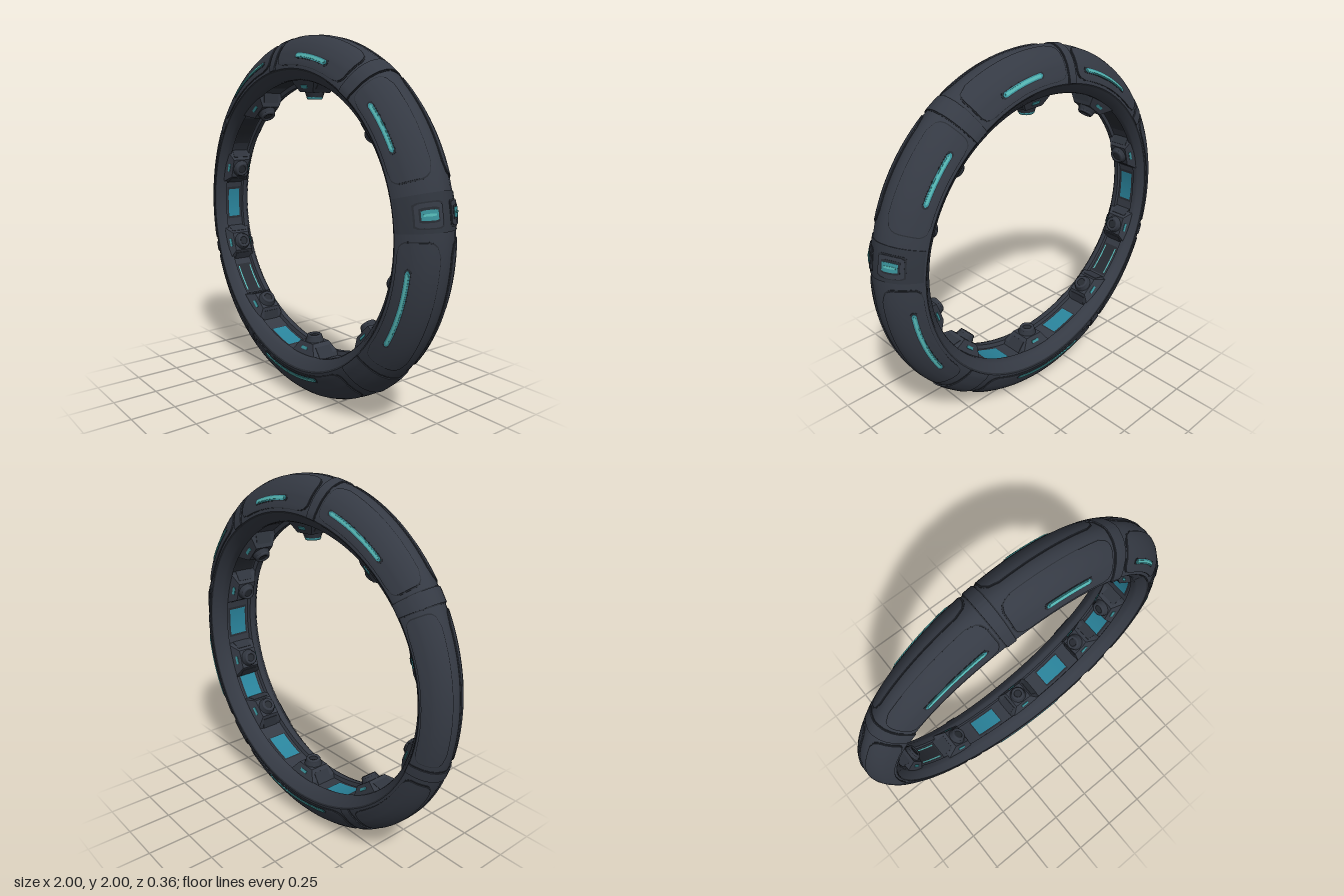
import * as THREE from 'three';
import { toCreasedNormals } from 'three/addons/utils/BufferGeometryUtils.js';

const DEG = Math.PI / 180;

const mat = (name, color) => {
  const m = new THREE.MeshStandardMaterial({ color });
  m.name = name;
  return m;
};

// Half of the tube section: [share of radial thickness, share of half depth]
const SECTION = [
  [0, 0], [0.02, 0.15], [0.08, 0.38], [0.2, 0.6], [0.36, 0.78], [0.5, 0.88], [0.64, 0.97],
  [0.75, 1], [0.97, 0.76], [1, 0.66], [1, 0.5], [0.9, 0.46], [0.9, 0],
];
const LAST = SECTION.length - 1;

// The ring is thinner and shallower on its -x side
function thickness(t) {
  const c = Math.cos(t), s = Math.sin(t);
  return 0.215 + 0.022 * s * s - (c < 0 ? 0.055 * c * c : 0);
}
function halfDepth(t) {
  const c = Math.cos(t);
  return 0.161 + 0.025 * c - 0.014 * c * c;
}

// Radius and z on the section; s runs -LAST..LAST, negative towards the back
function sectionAt(t, s) {
  const a = Math.min(Math.abs(s), LAST), i = Math.min(Math.floor(a), LAST - 1), f = a - i;
  const [u0, v0] = SECTION[i], [u1, v1] = SECTION[i + 1];
  const u = u0 + (u1 - u0) * f, v = v0 + (v1 - v0) * f;
  return [1 - u * thickness(t), Math.sign(s) * v * halfDepth(t)];
}

function surface(t, s, lift = 0) {
  let [r, z] = sectionAt(t, s);
  if (lift) {
    const [r0, z0] = sectionAt(t, s - 0.3), [r1, z1] = sectionAt(t, s + 0.3);
    const l = Math.hypot(r1 - r0, z1 - z0) || 1;
    r += (lift * (z1 - z0)) / l;
    z -= (lift * (r1 - r0)) / l;
  }
  return [r * Math.cos(t), 1 + r * Math.sin(t), z];
}

// Surface from a grid of points
function gridGeometry(nu, nv, point, crease) {
  const pos = [], idx = [];
  for (let i = 0; i <= nu; i++) for (let j = 0; j <= nv; j++) pos.push(...point(i, j));
  for (let i = 0; i < nu; i++) {
    for (let j = 0; j < nv; j++) {
      const a = i * (nv + 1) + j, b = a + nv + 1;
      idx.push(a, b, b + 1, a, b + 1, a + 1);
    }
  }
  const g = new THREE.BufferGeometry();
  g.setAttribute('position', new THREE.Float32BufferAttribute(pos, 3));
  g.setIndex(idx);
  return toCreasedNormals(g, crease);
}

// Raised plate following the ring, with rounded corners and a skirt; angles in degrees
function plateGeometry(d0, d1, s0, s1, lift, round = 0) {
  const nu = Math.max(4, Math.ceil((d1 - d0) / 2.5)) + 2;
  const nv = Math.max(3, Math.ceil((s1 - s0) / 0.4)) + 2;
  const clamp = (i, n) => Math.min(Math.max((i - 1) / (n - 2), 0), 1);
  return gridGeometry(nu, nv, (i, j) => {
    const a = clamp(i, nu), b = clamp(j, nv);
    const k = Math.max(0, (Math.abs(2 * b - 1) - 0.4) / 0.6);
    const inset = round * (1 - Math.sqrt(Math.max(0, 1 - k * k)));
    const t = d0 + inset + (d1 - d0 - 2 * inset) * a;
    const edge = i === 0 || j === 0 || i === nu || j === nv;
    return surface(t * DEG, s0 + (s1 - s0) * b, edge ? -0.004 : lift);
  }, 0.7);
}

export function createModel() {
  const group = new THREE.Group();
  group.name = 'segmentedRing';
  const shell = mat('dark slate', 0x353a44);
  const seam = mat('seam charcoal', 0x282c33);
  const frame = mat('frame slate', 0x30353e);
  const glow = mat('light teal', 0x56b9b6);
  const dim = mat('mid teal', 0x3a929a);
  const glass = mat('deep teal', 0x2a849c);

  const add = (parent, name, geo, material) => {
    const m = new THREE.Mesh(geo, material);
    m.name = name;
    parent.add(m);
    return m;
  };
  const plate = (name, d0, d1, s0, s1, lift, material, round) =>
    add(group, name, plateGeometry(d0, d1, s0, s1, lift, round), material);
  // The same plate on the front and back shoulders
  const pair = (name, d0, d1, s0, s1, lift, material, round) => {
    plate(name + 'Front', d0, d1, s0, s1, lift, material, round);
    plate(name + 'Back', d0, d1, -s1, -s0, lift, material, round);
  };

  // Main ring body
  add(group, 'ringBody', gridGeometry(120, 2 * LAST,
    (i, j) => surface((i % 120) * 3 * DEG, j - LAST), 0.6), shell);

  // Shoulder panels with dark outlines: [start, end]
  const panels = [[19, 51], [59, 97], [103, 142], [150, 194], [202, 236], [244, 302], [320, 362]];
  for (const [a, b] of panels) {
    pair('panelSeam', a - 0.4, b + 0.4, 1.2, 6.4, 0.002, seam, 4.3);
    pair('shoulderPanel', a, b, 1.3, 6.3, 0.006, shell, 4);
  }

  // Collars between the panels: [middle, half width]
  for (const [a, w] of [[55, 2.5], [100, 1.7], [146, 2.2], [198, 1.7], [240, 2.2], [311, 5]]) {
    plate('collarSeam', a - w - 0.3, a + w + 0.3, -7, 7, 0.002, seam);
    plate('collar', a - w, a + w, -6.9, 6.9, 0.007, shell);
  }

  // Rim seams beside the inner lip
  for (const s of [7.1, -7.1]) {
    add(group, 'rimSeam', gridGeometry(120, 1,
      (i, j) => surface((i % 120) * 3 * DEG, s + (j - 0.5) * 0.1, 0.002), 0.6), seam);
  }

  // Light strips on the panels, bright along the middle: [start, end, section start, section end]
  const strips = [
    [28, 45, 4.35, 5], [69, 86, 4.5, 5.2], [107, 131, 4.4, 5.05],
    [328, 354, 4.2, 4.85], [253, 287, 5.3, 5.95],
  ];
  for (const [a, b, s0, s1] of strips) {
    pair('stripFrame', a - 0.6, b + 0.6, s0 - 0.12, s1 + 0.12, 0.0075, seam, 0.5);
    pair('stripEdge', a, b, s0, s1, 0.01, dim, 0.8);
    pair('lightStrip', a + 0.8, b - 0.8, s0 + 0.16, s1 - 0.16, 0.0125, glow, 0.5);
  }

  // Clasp with two windows wrapping towards the shoulders
  plate('claspCollar', 4.5, 15, -6.5, 6.5, 0.004, frame);
  pair('claspSeam', 5.6, 12.9, 0.8, 4, 0.006, seam, 0.6);
  pair('claspFrame', 6, 12.5, 1, 3.8, 0.01, shell, 0.6);
  pair('claspRecess', 7.3, 11.4, 1.4, 3.4, 0.0115, seam, 0.3);
  pair('claspWindow', 7.9, 10.7, 1.55, 3.2, 0.0135, dim, 0.2);
  pair('claspLight', 9, 9.7, 1.8, 3, 0.0155, glow, 0.1);

  // Pedestal block: a box whose inner end is pulled in
  const tapered = (w0, w1, h, d0, d1) => {
    const g = new THREE.BoxGeometry(1, h, 1).translate(0, h / 2, 0);
    const p = g.attributes.position;
    for (let i = 0; i < p.count; i++) {
      const top = p.getY(i) > h / 2;
      p.setX(i, p.getX(i) * (top ? w1 : w0));
      p.setZ(i, p.getZ(i) * (top ? d1 : d0));
    }
    return toCreasedNormals(g, 0.3);
  };
  const foot = tapered(0.25, 0.2, 0.035, 0.19, 0.17);
  const block = tapered(0.2, 0.115, 0.055, 0.17, 0.115);
  const neck = new THREE.CylinderGeometry(0.043, 0.054, 0.028, 12);
  const rim = new THREE.TorusGeometry(0.034, 0.011, 6, 16).rotateX(Math.PI / 2);
  const bore = new THREE.CircleGeometry(0.027, 16).rotateX(-Math.PI / 2);
  const lamp = new THREE.BoxGeometry(0.05, 0.016, 0.006);
  const rib = new THREE.BoxGeometry(0.018, 0.07, 0.1);

  // Emitters standing on the channel floor
  const emitters = [18, 44, 87.5, 127, 163, 198, 231, 272.5, 315, 342];
  emitters.forEach((deg, k) => {
    const t = deg * DEG, r = 1 - 0.9 * thickness(t) + 0.008, lit = k === 2;
    const e = new THREE.Group();
    e.name = 'emitter';
    e.position.set(r * Math.cos(t), 1 + r * Math.sin(t), 0);
    e.rotation.z = t + Math.PI / 2;
    e.scale.y = thickness(t) / 0.225;
    add(e, 'emitterFoot', foot, frame);
    add(e, 'emitterBlock', block, shell).position.y = 0.035;
    add(e, 'emitterNeck', neck, frame).position.y = 0.103;
    add(e, 'emitterRim', rim, lit ? dim : shell).position.y = 0.116;
    add(e, 'emitterBore', bore, lit ? glow : seam).position.y = 0.1185;
    for (const side of [1, -1]) {
      const l = add(e, 'emitterLamp', lamp, dim);
      l.position.set(0, 0.062, side * 0.0725);
      l.rotation.x = -side * 0.46;
      const b = add(e, 'emitterRib', rib, frame);
      b.position.set(side * 0.088, 0.04, 0);
      b.rotation.z = side * 0.65;
    }
    group.add(e);
  });

  // Thin plate on the channel floor, in two halves meeting at z = 0
  const floorPlate = (name, mid, half, s0, s1, lift, material) => {
    for (const [a, b] of [[s0, s1], [-s1, -s0]]) {
      add(group, name, gridGeometry(8, 1, (i, j) =>
        surface((mid + half * (i / 4 - 1)) * DEG, a + (b - a) * j, lift), 0.6), material);
    }
  };
  for (const m of [0, 31, 66, 107, 145, 180, 215, 252, 294, 328.5]) {
    floorPlate('channelFrame', m, 7, 11.15, 12, 0.002, seam);
  }
  // Glass between the lower and side emitters: [middle, half angle]
  for (const [m, half] of [[0, 6], [180, 6], [252, 6.5], [294, 6.5], [328.5, 5.5]]) {
    floorPlate('channelGlass', m, half, 11.3, 12, 0.005, glass);
  }
  // One recess has only lit edges
  floorPlate('channelEdgeLight', 215, 6, 11.25, 11.38, 0.005, glow);
  return group;
}
